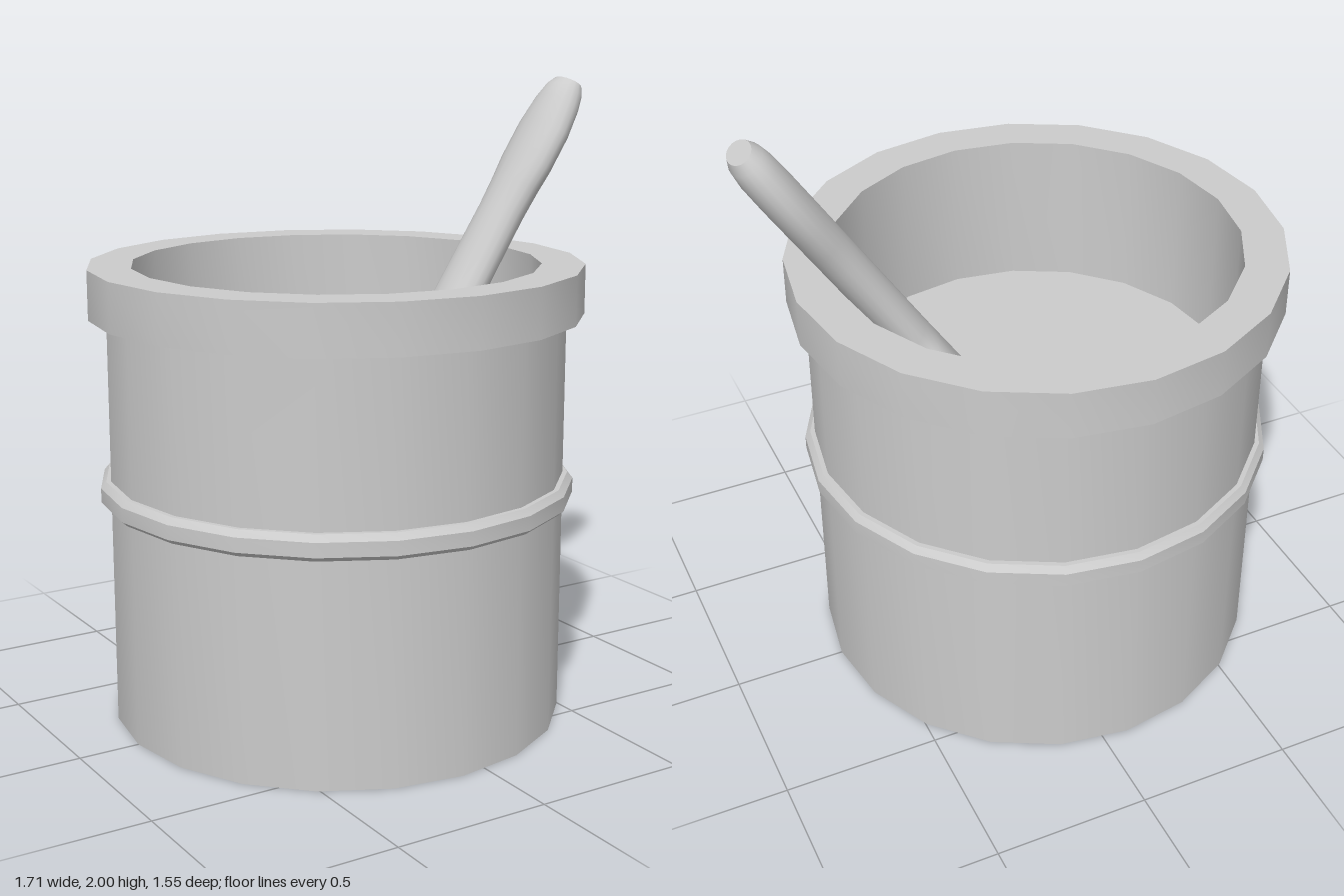
import * as THREE from 'three';
import { toCreasedNormals } from 'three/addons/utils/BufferGeometryUtils.js';

const SIDES = 20;

export function createModel() {
  const model = new THREE.Group();
  const material = new THREE.MeshStandardMaterial({ color: 0xcccccc });

  function add(name, geometry, parent, crease = 0.6) {
    const mesh = new THREE.Mesh(toCreasedNormals(geometry, crease), material);
    mesh.name = name;
    parent.add(mesh);
    return mesh;
  }

  const lathe = (profile) =>
    new THREE.LatheGeometry(profile.map(([r, y]) => new THREE.Vector2(r, y)), SIDES);

  // Mortar: a hollow vessel with a flat thick rim and a bevelled band
  const mortar = new THREE.Group();
  mortar.name = 'mortar';
  mortar.position.x = -0.085;
  model.add(mortar);

  add('vessel', lathe([
    [0, 0], [0.72, 0], [0.72, 1.295], [0.775, 1.295], [0.775, 1.45],
    [0.64, 1.45], [0.64, 0.94], [0, 0.94],
  ]), mortar);
  add('band', lathe([
    [0.715, 0.705], [0.735, 0.705], [0.752, 0.72], [0.752, 0.765], [0.735, 0.785], [0.715, 0.785],
  ]), mortar);

  // Pestle: flattened shaft with a wide head below and a swollen grip above
  // stations: distance along the shaft, half width, half thickness
  const stations = [
    [-0.03, 0.21, 0.045], [0.005, 0.25, 0.06], [0.05, 0.278, 0.064], [0.1, 0.265, 0.064],
    [0.15, 0.235, 0.064], [0.22, 0.175, 0.064], [0.29, 0.112, 0.064], [0.36, 0.098, 0.064],
    [0.72, 0.092, 0.064], [0.82, 0.1, 0.064], [0.9, 0.112, 0.064], [1.03, 0.112, 0.064],
    [1.13, 0.092, 0.062], [1.18, 0.075, 0.055], [1.21, 0.058, 0.04],
  ];
  const rows = stations.length - 1;
  const geometry = new THREE.CylinderGeometry(1, 1, 1, 18, rows);
  const p = geometry.attributes.position;
  for (let i = 0; i < p.count; i++) {
    const [s, width, thickness] = stations[Math.round((p.getY(i) + 0.5) * rows)];
    p.setXYZ(i, p.getX(i) * thickness, s, p.getZ(i) * width);
  }
  const pestle = add('pestle', geometry, model, 0.75);
  pestle.position.set(0.16, 0.96, 0);
  pestle.rotation.z = -0.574;

  return model;
}
